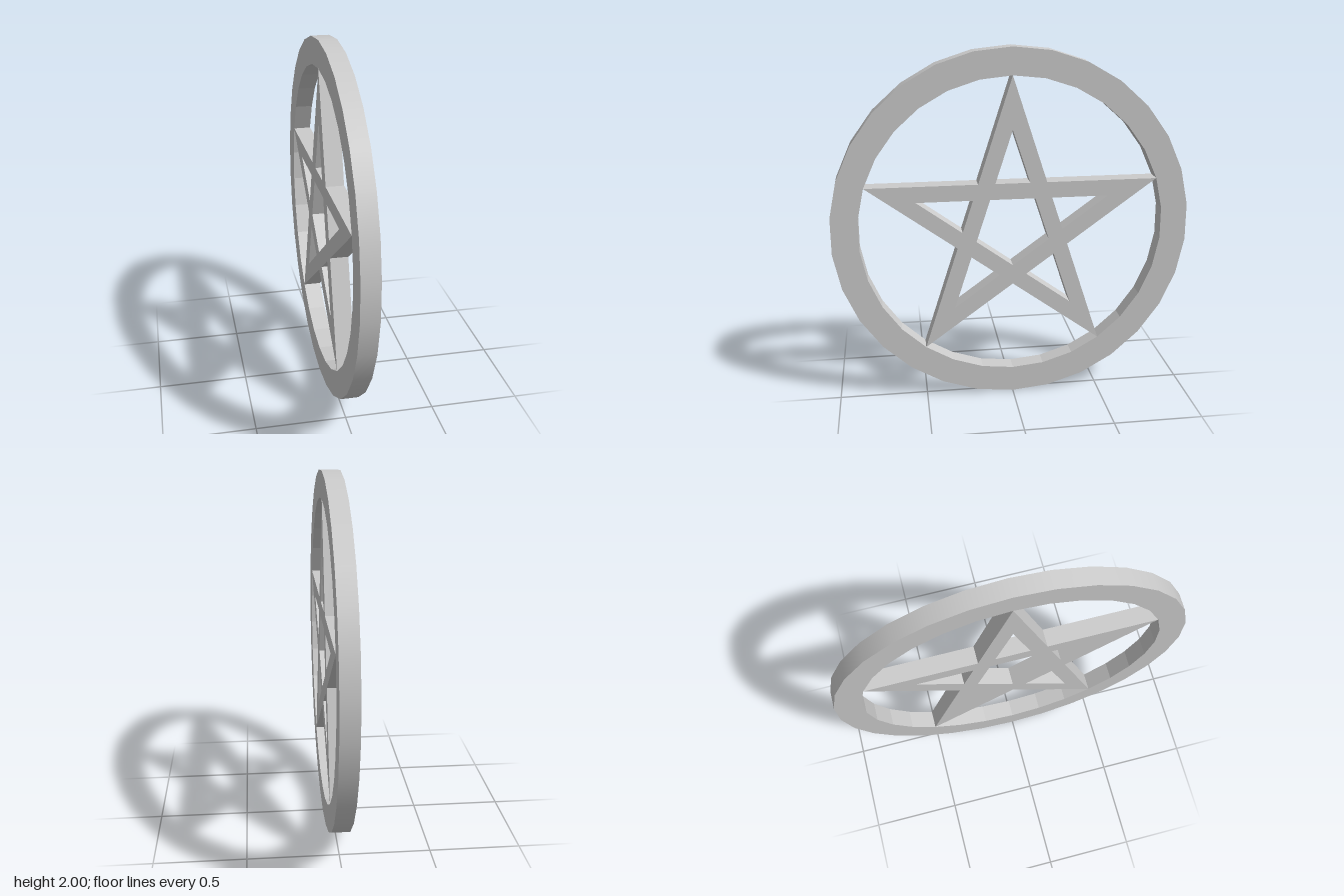
import * as THREE from 'three';

const DEPTH = 0.1;
const SIDES = 30;
const OUTER = 1;
const INNER = 0.85;
const LINE = INNER * Math.cos(Math.PI * 0.4); // centre to outer edge of a star bar
const BAR = 0.173; // centre to inner edge of a star bar

// Point at an angle measured counter-clockwise from the top
const polar = (r, a) => new THREE.Vector2(-r * Math.sin(a), r * Math.cos(a));

const ringPoints = (r, n) =>
  Array.from({ length: n }, (_, i) => polar(r, (i / n) * Math.PI * 2));

// Extrudes a counter-clockwise outline with holes, centred on its thickness, and faces it along x
function plate(name, outline, holes, material, adjust) {
  const shape = new THREE.Shape(outline);
  shape.holes = holes.map((h) => new THREE.Path(h));
  const geometry = new THREE.ExtrudeGeometry(shape, { depth: DEPTH, bevelEnabled: false });
  geometry.translate(0, 0, -DEPTH / 2);
  if (adjust) adjust(geometry);
  geometry.rotateY(Math.PI / 2);
  const mesh = new THREE.Mesh(geometry, material);
  mesh.name = name;
  mesh.position.y = 1;
  return mesh;
}

// Smooth shading on the outer rim only
function smoothRim(geometry) {
  const { position: p, normal: n } = geometry.attributes;
  for (let i = 0; i < p.count; i++) {
    const r = Math.hypot(p.getX(i), p.getY(i));
    if (r > (OUTER + INNER) / 2 && Math.abs(n.getZ(i)) < 0.5) {
      n.setXYZ(i, p.getX(i) / r, p.getY(i) / r, 0);
    }
  }
}

export function createModel() {
  const group = new THREE.Group();
  group.name = 'starInRing';
  const material = new THREE.MeshStandardMaterial({ color: 0xcccccc });

  // Circular frame
  group.add(plate('ring', ringPoints(OUTER, SIDES), [ringPoints(INNER, SIDES)], material, smoothRim));

  // Five-pointed star: alternating tips and notches
  const notch = LINE / Math.cos(Math.PI / 5);
  const outline = Array.from({ length: 10 }, (_, i) =>
    polar(i % 2 ? notch : INNER, (i * Math.PI) / 5));

  // Central pentagon opening, pointing down
  const pentagon = Array.from({ length: 5 }, (_, i) =>
    polar(BAR / Math.cos(Math.PI / 5), Math.PI / 5 + (i * Math.PI * 2) / 5));

  // One triangular opening in each arm
  const tip = BAR / Math.cos(Math.PI * 0.4);
  const half = (tip - LINE) * Math.tan(Math.PI / 10);
  const holes = [pentagon];
  for (let i = 0; i < 5; i++) {
    holes.push([[0, tip], [-half, LINE], [half, LINE]].map(([x, y]) =>
      new THREE.Vector2(x, y).rotateAround(new THREE.Vector2(), (i * Math.PI * 2) / 5)));
  }
  group.add(plate('star', outline, holes, material));

  return group;
}
